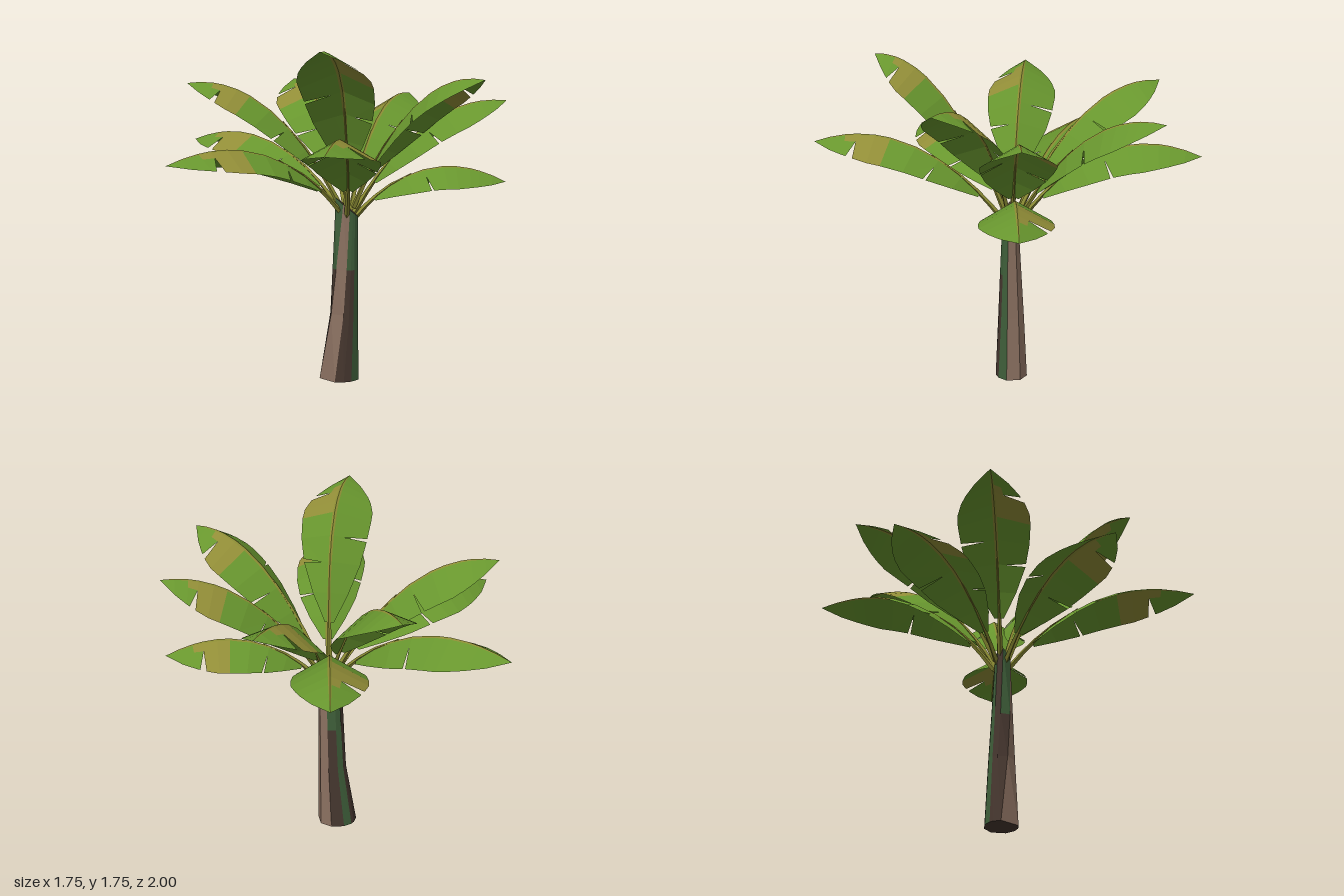
import * as THREE from 'three';

const mat = (name, hex) => {
  const m = new THREE.MeshStandardMaterial({ color: hex, flatShading: true, side: THREE.DoubleSide });
  m.name = name;
  return m;
};

// Collects flat quads by material index and turns them into one grouped geometry
function quadBuilder() {
  const lists = {};
  const tri = (k, a, b, c) => {
    const n = b.clone().sub(a).cross(c.clone().sub(a));
    if (n.lengthSq() < 1e-12) return;
    (lists[k] ||= []).push(...a.toArray(), ...b.toArray(), ...c.toArray());
  };
  return {
    quad(k, a, b, c, d) { tri(k, a, b, c); tri(k, a, c, d); },
    mesh(name, mats) {
      const g = new THREE.BufferGeometry(), all = [];
      for (const k in lists) {
        g.addGroup(all.length / 3, lists[k].length / 3, Number(k));
        for (const v of lists[k]) all.push(v);
      }
      g.setAttribute('position', new THREE.Float32BufferAttribute(all, 3));
      g.computeVertexNormals();
      const mesh = new THREE.Mesh(g, mats);
      mesh.name = name;
      return mesh;
    },
  };
}

// Tapered, slightly leaning stem with twisting colour strips and a slanted top
function makeTrunk(mats) {
  const q = quadBuilder();
  const rings = [ // y, centre x, centre z, radius x, radius z, slant
    [0, -0.012, -0.03, 0.107, 0.088, 0],
    [0.36, 0.013, -0.028, 0.077, 0.07, 0],
    [0.6, 0.02, -0.025, 0.07, 0.058, 0],
    [0.93, 0.028, -0.022, 0.06, 0.042, 0.05],
  ];
  // strip start angle at the foot and the top, then lower and upper colour
  const strips = [
    [20, 20, 2, 2], [56, 48, 0, 2], [80, 62, 0, 2], [106, 78, 1, 1], [185, 112, 0, 2],
    [212, 180, 0, 0], [225, 222, 2, 2], [252, 250, 0, 2], [290, 288, 1, 1], [330, 328, 1, 1],
  ];
  const point = (i, r) => {
    const s = strips[i % strips.length], [y, cx, cz, rx, rz, slant] = rings[r];
    const a = THREE.MathUtils.degToRad(s[0] + (s[1] - s[0]) * y / 0.93);
    return new THREE.Vector3(cx + rx * Math.cos(a), y - slant * Math.cos(a), cz + rz * Math.sin(a));
  };
  const foot = new THREE.Vector3(-0.012, 0, -0.03), top = new THREE.Vector3(0.028, 0.94, -0.022);
  strips.forEach((s, i) => {
    for (let r = 0; r < 3; r++) {
      q.quad(s[r < 2 ? 2 : 3], point(i, r), point(i, r + 1), point(i + 1, r + 1), point(i + 1, r));
    }
    q.quad(0, foot, point(i, 0), point(i + 1, 0), foot);
    q.quad(0, top, point(i + 1, 3), point(i, 3), top);
  });
  return q.mesh('trunk', mats);
}

// Leaf stations along the midrib and half widths of the blade
const T = [0.14, 0.24, 0.36, 0.48, 0.61, 0.69, 0.78, 0.84, 0.92, 1];
const W = [0.025, 0.095, 0.15, 0.175, 0.185, 0.183, 0.16, 0.135, 0.085, 0];
// Column limits from midrib to edge: rib, inner blade, outer blade
const F = [0, 0.06, 0.33, 1];

function makeLeaf([x, y, z, ctrlY, baseY, bow = 0], leafMats) {
  const leaf = new THREE.Group();
  leaf.name = 'leaf';
  const hub = new THREE.Vector3(0.03, baseY, -0.03), tip = new THREE.Vector3(x, y, z);
  const dir = tip.clone().sub(hub).setY(0).normalize();
  const left = new THREE.Vector3(dir.z, 0, -dir.x);
  const start = hub.clone().addScaledVector(dir, 0.035);
  const ctrl = start.clone().lerp(tip, 0.45).setY(ctrlY).addScaledVector(left, bow);
  const curve = new THREE.QuadraticBezierCurve3(start, ctrl, tip);
  const normalAt = (t) => curve.getTangent(t).cross(left).normalize();

  const width = (t) => {
    let i = 0;
    while (i < T.length - 2 && t > T[i + 1]) i++;
    return THREE.MathUtils.lerp(W[i], W[i + 1], (t - T[i]) / (T[i + 1] - T[i]));
  };
  // Point on the roof-shaped blade: side +1 left, -1 right; f from midrib to edge
  const at = (t, side, f) => {
    const n = normalAt(t), w = width(t) * f;
    if (n.y < 0) n.negate();
    return curve.getPoint(t).addScaledVector(left, side * w).addScaledVector(n, -0.56 * w);
  };

  // Blade with a rib along the fold, a dry patch and torn slits on its edges
  const slits = { 1: { 2: 0.015, 6: 0.04 }, '-1': { 3: 0.018 } };
  const blade = quadBuilder();
  for (const side of [1, -1]) {
    for (let i = 0; i < T.length - 1; i++) {
      const a = T[i], b = T[i + 1];
      const dry = side > 0 && i >= 4 && i <= 6;
      for (let c = 0; c < 3; c++) {
        const tear = c === 2 ? slits[side][i] || 0 : 0;
        const colour = c === 0 ? 2 : dry && !(i === 6 && c === 2) ? 1 : 0;
        blade.quad(colour, at(a, side, F[c]), at(b, side, F[c]), at(b, side, F[c + 1]), at(a + tear, side, F[c + 1]));
      }
    }
  }
  leaf.add(blade.mesh('leafBlade', leafMats));

  // Stalk fading into the fold of the blade
  const stalk = quadBuilder(), steps = [0, 0.08, 0.16, 0.26, 0.4];
  const stalkPoint = (i, k) => {
    const t = steps[i], r = 0.015 - 0.03 * t, a = k * Math.PI / 2;
    return curve.getPoint(t).addScaledVector(left, r * Math.cos(a)).addScaledVector(normalAt(t), r * Math.sin(a));
  };
  for (let i = 0; i < steps.length - 1; i++) {
    for (let k = 0; k < 4; k++) {
      stalk.quad(2, stalkPoint(i, k), stalkPoint(i, k + 1), stalkPoint(i + 1, k + 1), stalkPoint(i + 1, k));
    }
  }
  leaf.add(stalk.mesh('leafStalk', leafMats));
  return leaf;
}

export function createModel() {
  const model = new THREE.Group();
  model.name = 'broadLeafPalm';
  const trunkMats = [mat('dark bark', 0x46372f), mat('light bark', 0x8a7060), mat('green bark', 0x3f5f3a)];
  const leafMats = [mat('leaf green', 0x68962e), mat('dry olive', 0x918d37), mat('stalk olive', 0x8a8a33)];

  model.add(makeTrunk(trunkMats));

  // tip x, y, z, then arch height, base height and sideways bow
  const leaves = [
    // lower drooping leaves
    [0.10, 1.25, -1.0, 1.49, 0.88],
    [-0.80, 1.25, -0.60, 1.45, 0.9],
    [-0.88, 1.20, 0.46, 1.42, 0.9],
    [-0.13, 1.29, 1.0, 1.51, 0.88, 0.08],
    [0.87, 1.06, -0.03, 1.3, 0.87],
    // upper rising leaves
    [-0.24, 1.58, -0.82, 1.64, 0.93],
    [0.43, 1.50, -0.76, 1.56, 0.9, 0.03],
    [-0.81, 1.58, -0.14, 1.65, 0.93],
    [-0.14, 1.75, 0.67, 1.8, 0.93, 0.08],
    [0.69, 1.61, 0.37, 1.68, 0.93, 0.03],
    [0.87, 1.49, -0.04, 1.54, 0.9],
  ];
  for (const l of leaves) model.add(makeLeaf(l, leafMats));
  return model;
}
